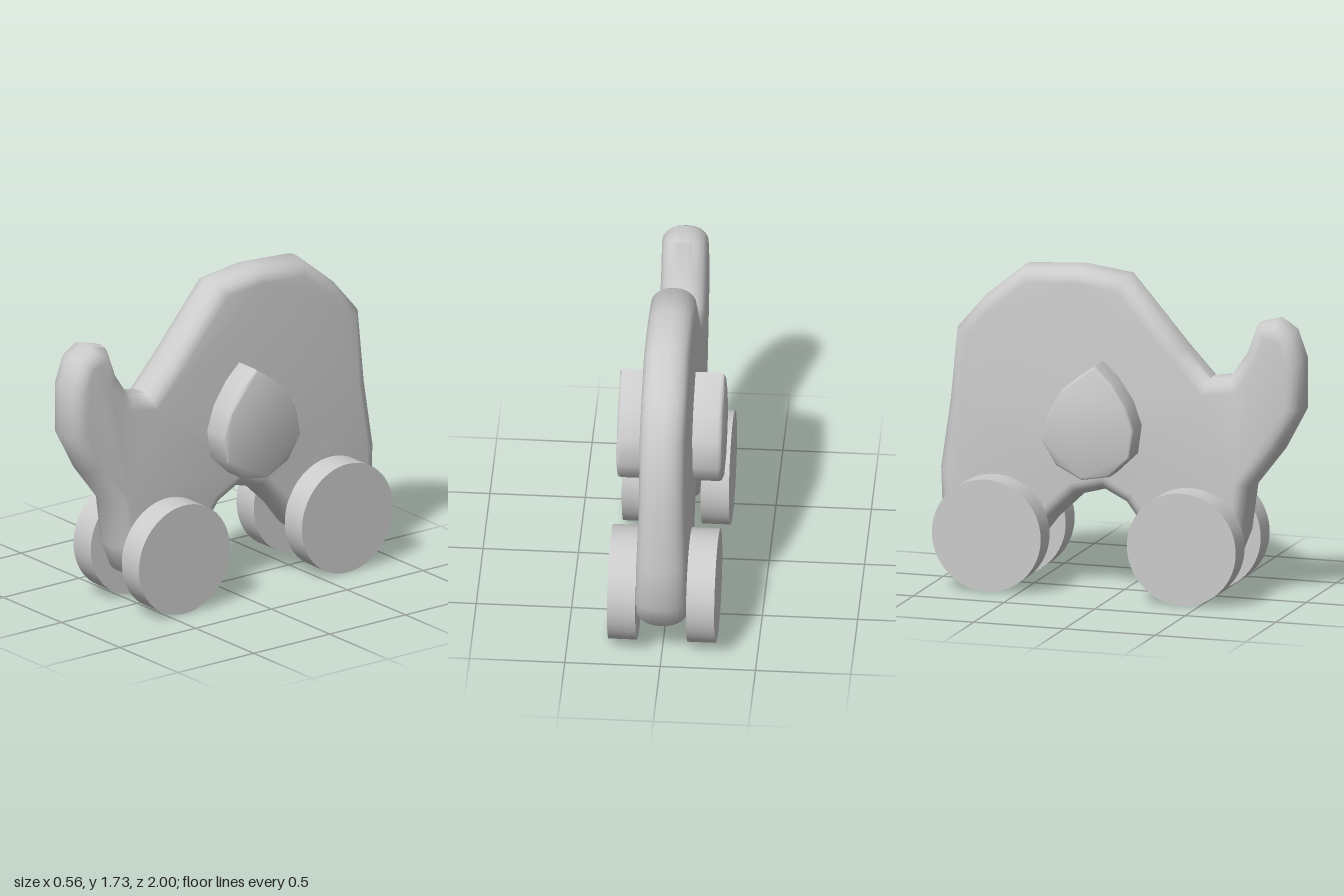
import * as THREE from 'three';
import { toCreasedNormals } from 'three/addons/utils/BufferGeometryUtils.js';

const material = new THREE.MeshStandardMaterial({ color: 0xcccccc });

// Side profile given as [z, y], extruded along x and centred on x = 0
function slab(profile, width, bevelThickness, bevelSize, bevelSegments) {
  const shape = new THREE.Shape(profile.map(([z, y]) => new THREE.Vector2(z, y)));
  const depth = width - 2 * bevelThickness;
  const geometry = new THREE.ExtrudeGeometry(shape, {
    depth, bevelThickness, bevelSize, bevelOffset: -bevelSize, bevelSegments,
  });
  geometry.translate(0, 0, -depth / 2);
  geometry.rotateY(-Math.PI / 2);
  return geometry;
}

function part(name, geometry, crease) {
  const mesh = new THREE.Mesh(toCreasedNormals(geometry, crease), material);
  mesh.name = name;
  return mesh;
}

export function createModel() {
  const model = new THREE.Group();
  model.name = 'rollingElephant';

  // Body, legs, head and raised trunk in one rounded slab
  const bodyProfile = [
    [1, 1.035], [1, 1.3], [0.945, 1.455], [0.855, 1.515], [0.745, 1.485],
    [0.69, 1.33], [0.595, 1.195], [0.49, 1.18], [0.35, 1.33], [0.035, 1.695],
    [-0.23, 1.73], [-0.54, 1.71], [-0.76, 1.53], [-0.91, 1.355], [-0.95, 0.95],
    [-1, 0.6], [-0.99, 0.35], [-0.93, 0.21], [-0.8, 0.14], [-0.6, 0.15],
    [-0.47, 0.23], [-0.37, 0.36], [-0.22, 0.505], [-0.09, 0.54], [0.03, 0.48],
    [0.12, 0.36], [0.2, 0.22], [0.33, 0.145], [0.5, 0.14], [0.63, 0.21],
    [0.69, 0.36], [0.725, 0.61], [0.88, 0.81],
  ];
  const body = slab(bodyProfile, 0.24, 0.11, 0.08, 5);
  // Legs swell slightly to meet the wheels
  const position = body.attributes.position;
  for (let i = 0; i < position.count; i++) {
    const swell = 1 + 0.13 * (1 - THREE.MathUtils.smoothstep(position.getY(i), 0.45, 0.85));
    position.setX(i, position.getX(i) * swell);
  }
  model.add(part('body', body, 0.9));

  // Teardrop ears and wheels, mirrored to both sides
  const earProfile = [
    [-0.08, 1.245], [-0.16, 1.19], [-0.26, 1.11], [-0.34, 0.98], [-0.37, 0.83],
    [-0.29, 0.7], [-0.15, 0.63], [0, 0.655], [0.115, 0.765], [0.135, 0.915],
    [0.09, 1.04], [0.01, 1.16],
  ];
  for (const [side, sign] of [['left', 1], ['right', -1]]) {
    const ear = part(side + 'Ear', slab(earProfile, 0.175, 0.02, 0.012, 2), 0.85);
    ear.position.x = sign * 0.1875;
    model.add(ear);

    for (const [end, z] of [['Front', 0.405], ['Back', -0.67]]) {
      const disc = new THREE.CylinderGeometry(0.3, 0.3, 0.148, 64).rotateZ(Math.PI / 2);
      const wheel = part(side + end + 'Wheel', disc, 0.6);
      wheel.position.set(sign * 0.207, 0.3, z);
      model.add(wheel);
    }
  }
  return model;
}
